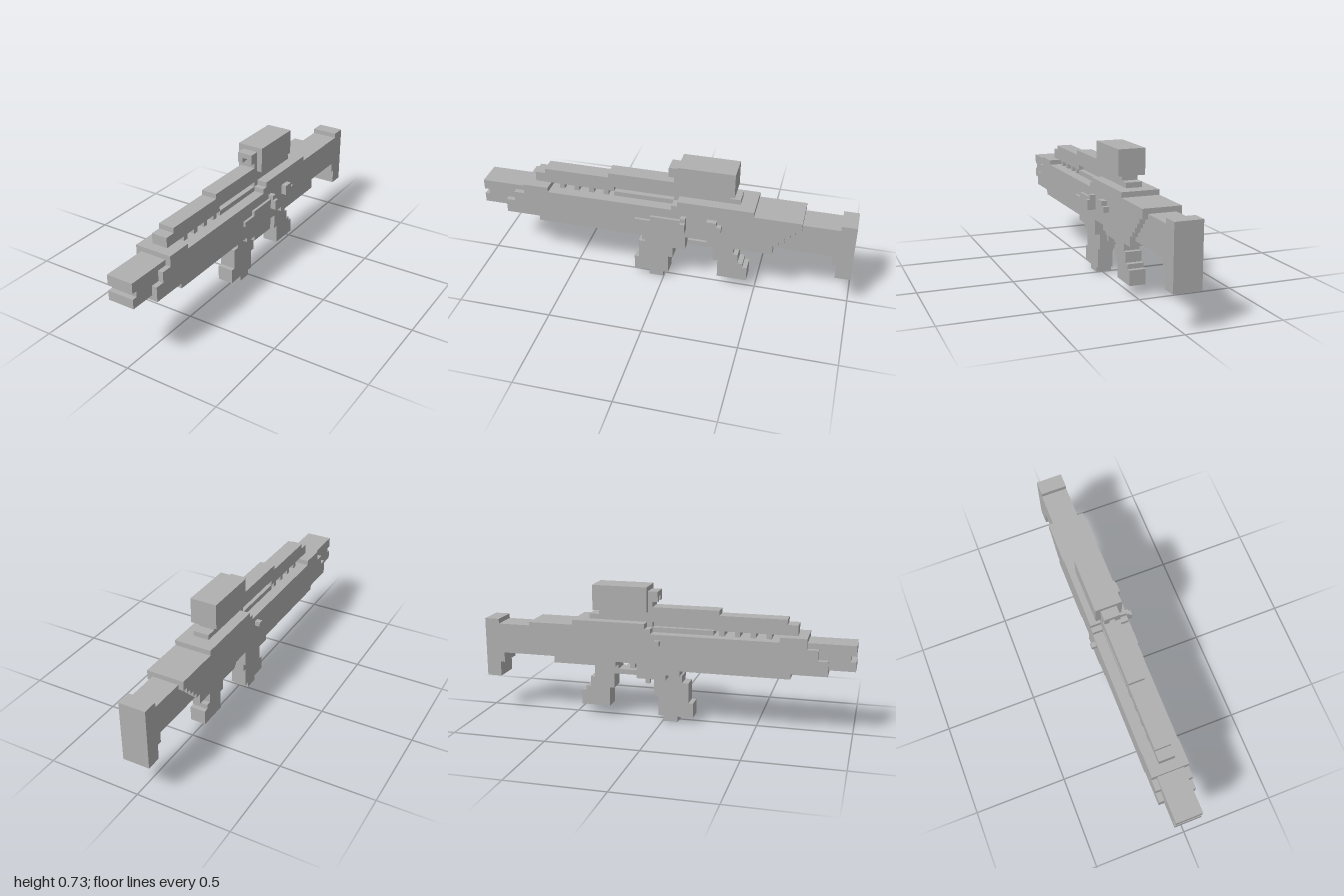
import * as THREE from 'three';

export function createModel() {
  const model = new THREE.Group();
  const grey = new THREE.MeshStandardMaterial({ color: 0xb0b0b0 });
  grey.name = 'grey';

  // Stepped side outline [z0, y0, z1, y1, ...]: run along z at each y, then step to the next y.
  function slab(name, steps, [x0, x1]) {
    const pts = [];
    for (let i = 0; i < steps.length; i += 2) {
      const nextZ = steps[(i + 2) % steps.length];
      pts.push(new THREE.Vector2(steps[i], steps[i + 1]), new THREE.Vector2(nextZ, steps[i + 1]));
    }
    const geo = new THREE.ExtrudeGeometry(new THREE.Shape(pts), { depth: x1 - x0, bevelEnabled: false });
    geo.rotateY(-Math.PI / 2);
    geo.translate(x1, 0, 0);
    const mesh = new THREE.Mesh(geo, grey);
    mesh.name = name;
    model.add(mesh);
  }
  const block = (name, z0, z1, y0, y1, xs) => slab(name, [z1, y0, z0, y1], xs);

  // Widths shared by the layers
  const WIDE = [-0.107, 0.091];
  const MID = [-0.079, 0.063];
  const SLIM = [-0.051, 0.034];
  const CORE = [-0.023, 0.006];

  // Main body with stepped nose, belly and tail
  slab('body', [
    0.865, 0.327, 0.68, 0.3, 0.105, 0.273, 0.03, 0.246, -0.13, 0.327, -0.245, 0.3,
    -0.59, 0.355, -0.62, 0.382, -0.647, 0.41, -0.674, 0.437, -0.7, 0.464, -0.73, 0.515,
    -0.484, 0.542, -0.085, 0.515, -0.055, 0.489, 0.62, 0.515,
    0.757, 0.46, 0.815, 0.405,
  ], WIDE);

  // Barrel block with a slot across its front
  slab('barrel', [1, 0.355, 0.7, 0.489, 1, 0.435, 0.973, 0.405], MID);

  // Stock and butt plate
  slab('stock', [
    -0.55, 0.327, -0.895, 0.273, -0.92, 0.192, -1, 0.515, -0.92, 0.489,
  ], MID);

  // Top rail, its teeth and the recessed side slot
  slab('rail', [
    0.705, 0.515, 0.27, 0.542, -0.055, 0.515, -0.405, 0.569,
    -0.35, 0.622, 0.3, 0.596, 0.65, 0.569,
  ], SLIM);
  block('railCore', -0.06, 0.28, 0.51, 0.545, CORE);
  block('railBase', -0.06, 0.27, 0.485, 0.515, SLIM);
  block('railFoot', 0.625, 0.7, 0.485, 0.52, SLIM);
  for (let i = 0; i < 4; i++) {
    const z = 0.545 - i * 0.0815;
    block('railTooth', z, z + 0.027, 0.485, 0.52, SLIM);
  }

  // Sight box with a notched hood in front
  block('sight', -0.377, -0.08, 0.596, 0.73, MID);
  block('hoodBase', -0.09, -0.055, 0.61, 0.65, SLIM);
  block('hoodTop', -0.09, -0.027, 0.678, 0.705, SLIM);
  block('hoodSide', -0.09, -0.027, 0.65, 0.678, [SLIM[0], CORE[0]]);
  block('hoodSide', -0.09, -0.027, 0.65, 0.678, [CORE[1], SLIM[1]]);

  // Front and rear grips
  slab('frontGrip', [
    0.082, 0, 0.003, 0.03, -0.024, 0.138, -0.05, 0.26, 0.105, 0.22, 0.14, 0.11, 0.165, 0.03,
  ], SLIM);
  slab('rearGrip', [
    -0.297, 0.06, -0.457, 0.14, -0.432, 0.165, -0.405, 0.22, -0.38, 0.32,
    -0.245, 0.246, -0.27, 0.165,
  ], SLIM);

  // Trigger, guard and small catch
  block('triggerTop', -0.217, -0.19, 0.3, 0.335, CORE);
  block('triggerTip', -0.19, -0.163, 0.273, 0.303, CORE);
  block('triggerGuard', -0.25, -0.12, 0.246, 0.273, SLIM);
  block('catch', -0.105, -0.08, 0.195, 0.25, CORE);

  // Left side: slide, handle and port cover
  slab('slide', [0.14, 0.382, -0.135, 0.437, 0.056, 0.41], [0.085, 0.105]);
  block('handleTop', -0.135, -0.108, 0.435, 0.46, [0.085, 0.119]);
  block('handle', -0.135, -0.108, 0.382, 0.435, [0.085, 0.134]);
  slab('portCover', [-0.245, 0.408, -0.323, 0.437, -0.297, 0.462], [0.085, 0.119]);

  // Right side: button
  block('button', -0.027, 0, 0.435, 0.46, [-0.135, -0.1]);

  return model;
}
